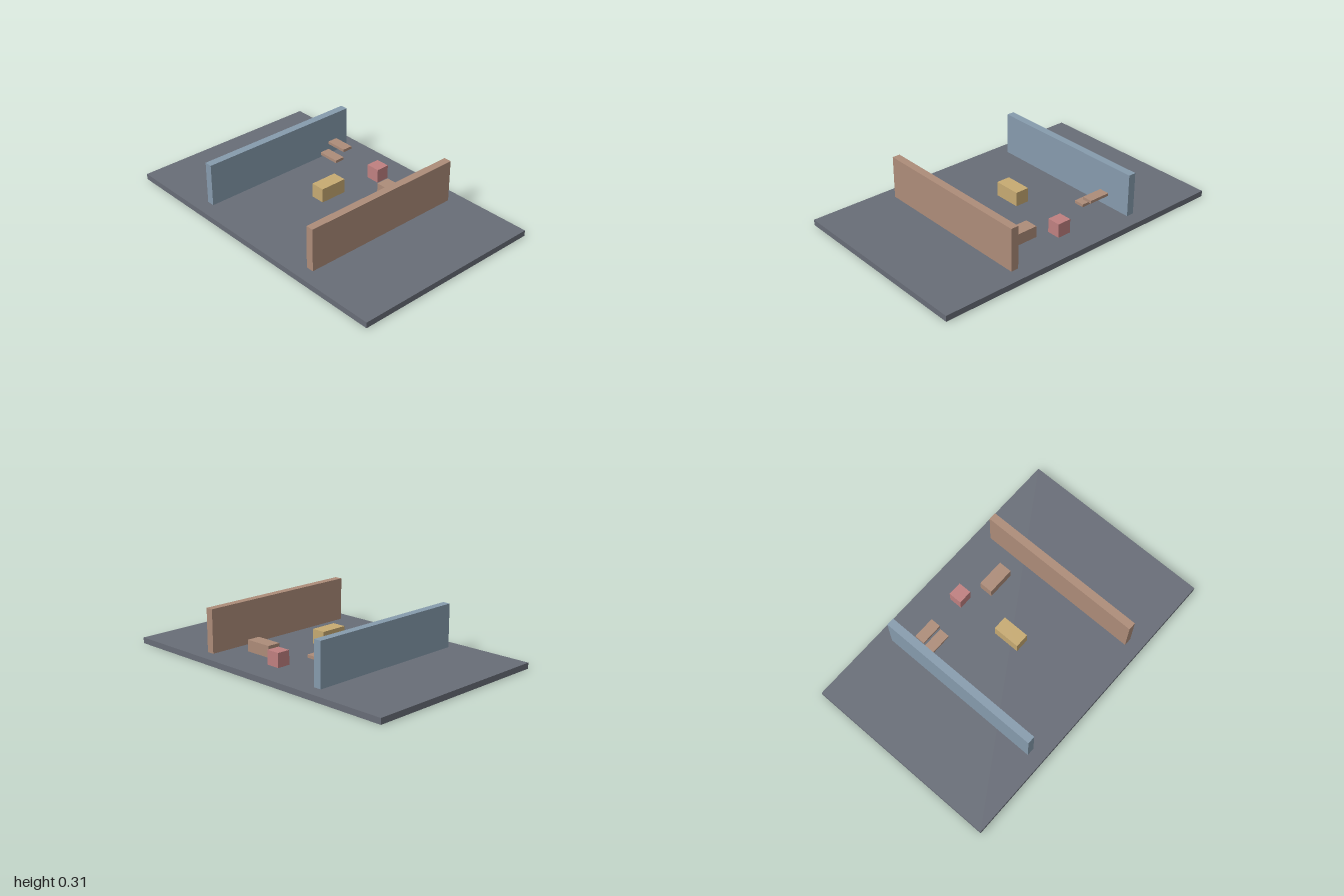
import * as THREE from 'three';

const material = (name, color) => {
  const m = new THREE.MeshStandardMaterial({ color });
  m.name = name;
  return m;
};

export function createModel() {
  const slate = material('slate', 0x686d77);
  const blue = material('dusty blue', 0x869bad);
  const clay = material('clay brown', 0xad8c79);
  const sand = material('sand yellow', 0xc6aa72);
  const rose = material('rose', 0xbf8080);

  const group = new THREE.Group();
  group.name = 'diorama';

  // Box given by its [min, max] extent on each axis
  const box = (name, mat, x, y, z) => {
    const mesh = new THREE.Mesh(
      new THREE.BoxGeometry(x[1] - x[0], y[1] - y[0], z[1] - z[0]), mat);
    mesh.position.set((x[0] + x[1]) / 2, (y[0] + y[1]) / 2, (z[0] + z[1]) / 2);
    mesh.name = name;
    group.add(mesh);
  };

  const floorTop = 0.037;
  box('floor', slate, [-1, 1], [0, floorTop], [-0.635, 0.635]);

  // Long parallel walls
  box('rightWall', blue, [-0.479, -0.429], [floorTop, 0.311], [-0.545, 0.545]);
  box('leftWall', clay, [0.428, 0.478], [floorTop, 0.311], [-0.545, 0.545]);

  // Two floating steps, the rear one higher
  box('lowerStep', clay, [-0.39, -0.247], [0.083, 0.101], [-0.353, -0.286]);
  box('upperStep', clay, [-0.39, -0.247], [0.137, 0.155], [-0.42, -0.353]);

  // Blocks between the walls; the sand one hovers
  box('bench', clay, [0.135, 0.317], [floorTop, 0.11], [-0.367, -0.28]);
  box('cube', rose, [-0.046, 0.045], [floorTop, 0.127], [-0.457, -0.37]);
  box('floatingBlock', sand, [-0.046, 0.045], [0.085, 0.176], [-0.09, 0.086]);

  return group;
}
